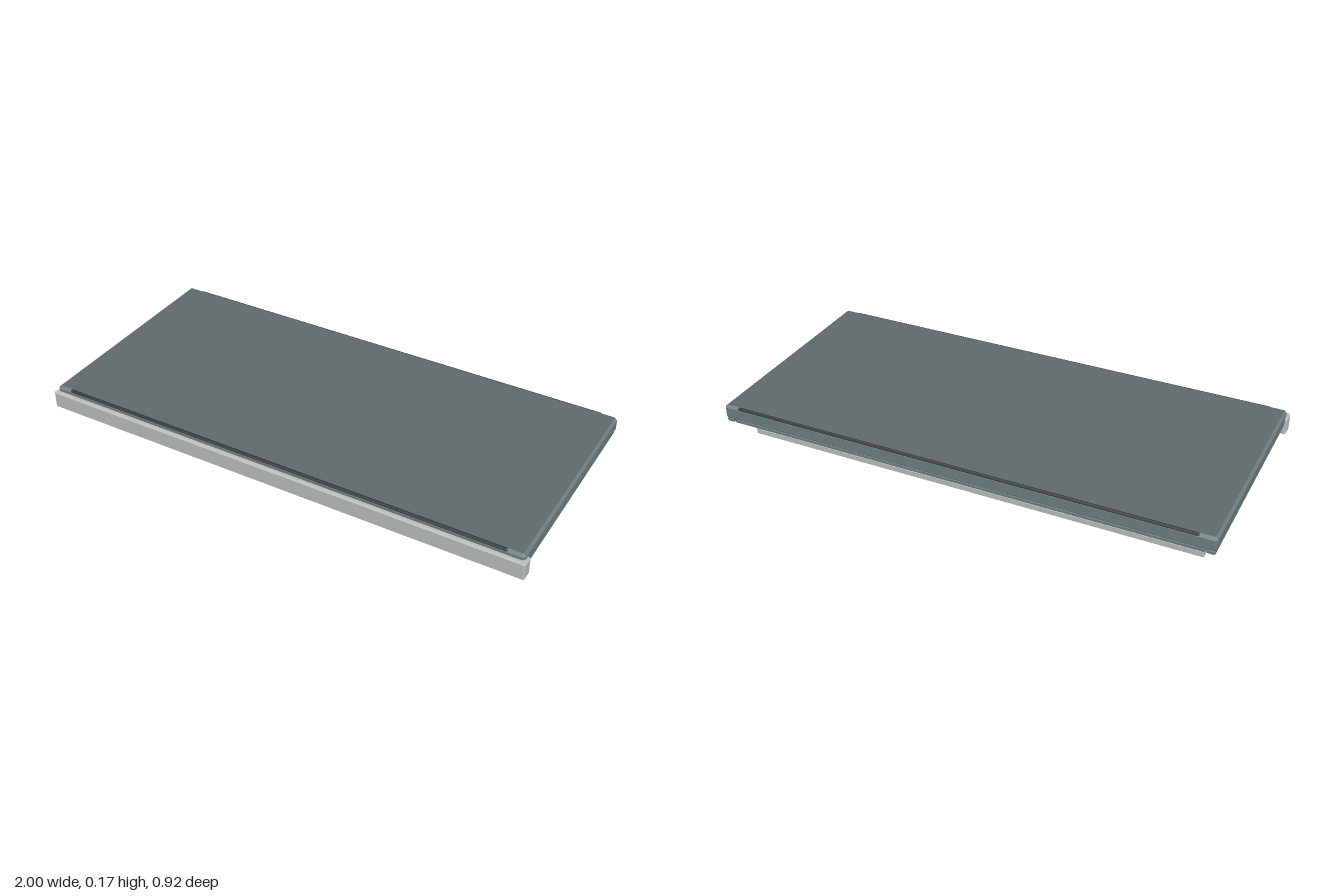
import * as THREE from 'three';
import { ConvexGeometry } from 'three/addons/geometries/ConvexGeometry.js';

// Box between two corners, with every edge chamfered by c
function chamferBox([x0, y0, z0], [x1, y1, z1], c) {
  const centre = new THREE.Vector3((x0 + x1) / 2, (y0 + y1) / 2, (z0 + z1) / 2);
  const half = [(x1 - x0) / 2, (y1 - y0) / 2, (z1 - z0) / 2];
  const points = [];
  for (const sx of [-1, 1]) for (const sy of [-1, 1]) for (const sz of [-1, 1]) {
    for (let axis = 0; axis < 3; axis++) {
      const h = half.map((v, i) => (i === axis ? v : v - c));
      points.push(new THREE.Vector3(sx * h[0], sy * h[1], sz * h[2]).add(centre));
    }
  }
  return new ConvexGeometry(points);
}

export function createModel() {
  const group = new THREE.Group();
  const material = (name, color) => {
    const m = new THREE.MeshStandardMaterial({ color });
    m.name = name;
    return m;
  };
  const slate = material('slate', 0x5e686b);
  const dark = material('dark charcoal', 0x2c3031);
  const teal = material('grey teal', 0x6c7d80);
  const grey = material('light metal grey', 0xb8bcb9);

  const add = (name, min, max, chamfer, mat) => {
    const mesh = new THREE.Mesh(chamferBox(min, max, chamfer), mat);
    mesh.name = name;
    group.add(mesh);
  };

  // Bevelled body, with a slate skin on its top and underside
  add('panelFrame', [-0.99, 0.108, -0.459], [0.99, 0.168, 0.445], 0.01, teal);
  add('topSkin', [-0.98, 0.162, -0.449], [0.98, 0.169, 0.435], 0.001, slate);
  add('underSkin', [-0.98, 0.107, -0.449], [0.98, 0.114, 0.435], 0.001, slate);

  // Narrow dark seals let into the front and back top bevels
  add('frontSeal', [-0.93, 0.155, 0.425], [0.93, 0.1685, 0.4455], 0.008, dark);
  add('backSeal', [-0.93, 0.155, -0.4595], [0.93, 0.1685, -0.439], 0.008, dark);

  // Lip hanging below the back edge
  add('backLip', [-0.95, 0.096, -0.453], [0.95, 0.11, -0.425], 0.002, teal);

  // Thin ribs under the panel
  for (const x of [-0.66, 0, 0.66]) {
    add('underRib', [x - 0.008, 0.086, -0.415], [x + 0.008, 0.109, 0.397], 0.002, grey);
  }

  // Side lips and slide rails, mirrored
  for (const s of [-1, 1]) {
    add('sideLip', [s * 0.97 - 0.015, 0.096, -0.453], [s * 0.97 + 0.015, 0.11, 0.42], 0.002, teal);
    add('sideRail', [s * 0.912 - 0.02, 0.033, -0.36], [s * 0.912 + 0.02, 0.068, 0.341], 0.003, grey);
  }

  // Front rail and rear cross bar
  add('frontRail', [-1, 0.074, 0.412], [1, 0.147, 0.461], 0.006, grey);
  add('rearCrossBar', [-0.925, 0, -0.361], [0.925, 0.024, -0.32], 0.002, grey);

  return group;
}
